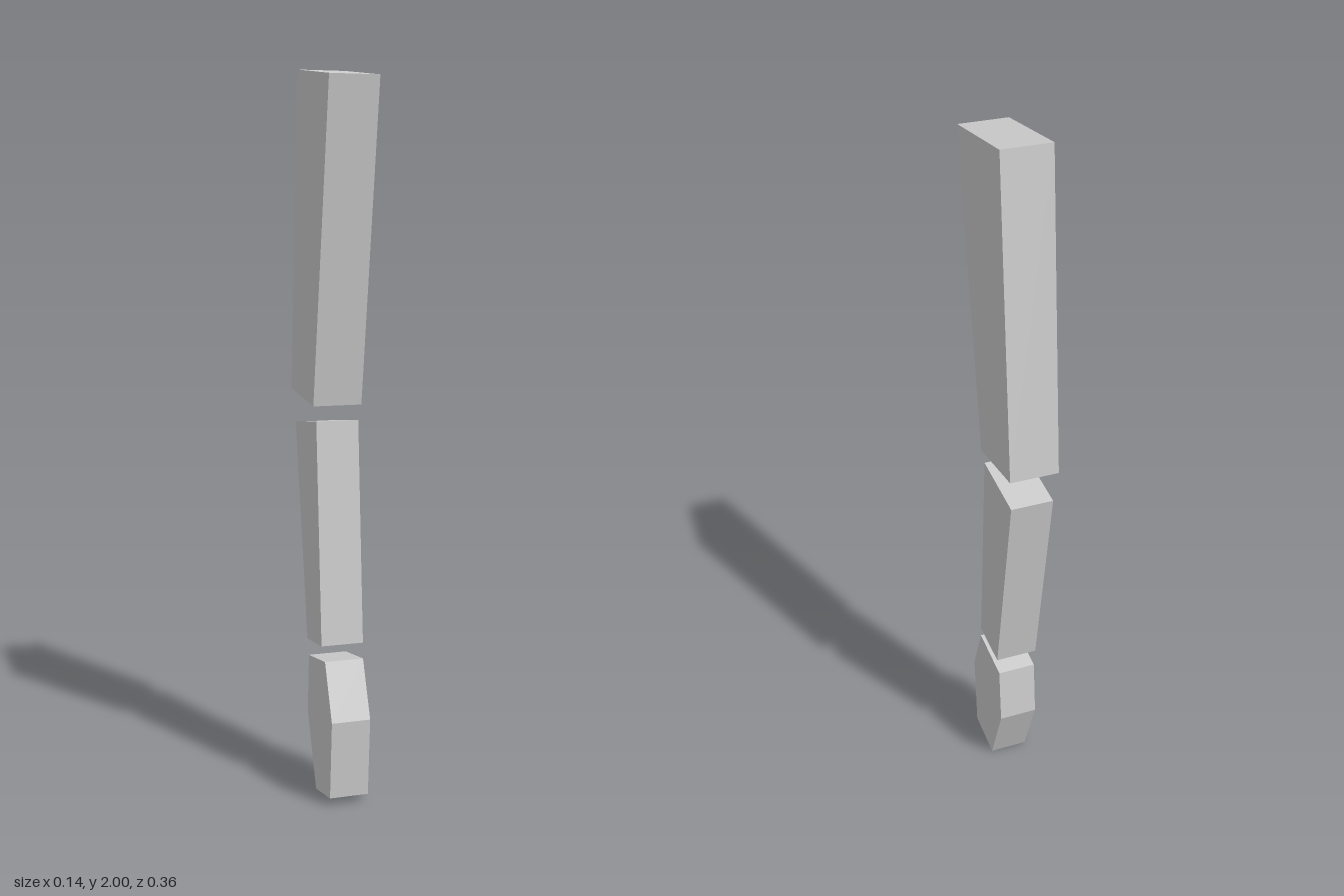
import * as THREE from 'three';

// Side profiles as [z, y] corners, each extruded across x
const PARTS = [
  { name: 'upperArm', width: 0.137, profile: [[0.18, 1.965], [-0.112, 2.0], [-0.18, 1.125], [0.036, 1.1]] },
  { name: 'forearm', width: 0.12, profile: [[0.035, 1.058], [-0.166, 1.03], [-0.055, 0.424], [0.081, 0.44]] },
  {
    name: 'hand', width: 0.11,
    profile: [[0.097, 0.4], [-0.058, 0.374], [-0.071, 0.205], [0.01, 0], [0.143, 0.024], [0.16, 0.245]],
  },
];

export function createModel() {
  const model = new THREE.Group();
  model.name = 'jointedArm';
  const material = new THREE.MeshStandardMaterial({ color: 0xcccccc });
  material.name = 'light grey';

  for (const { name, width, profile } of PARTS) {
    const shape = new THREE.Shape(profile.map(([z, y]) => new THREE.Vector2(-z, y)));
    const geometry = new THREE.ExtrudeGeometry(shape, { depth: width, bevelEnabled: false });
    // Centre the thickness, then turn the profile into the side plane
    geometry.translate(0, 0, -width / 2).rotateY(Math.PI / 2);
    const mesh = new THREE.Mesh(geometry, material);
    mesh.name = name;
    model.add(mesh);
  }
  return model;
}
